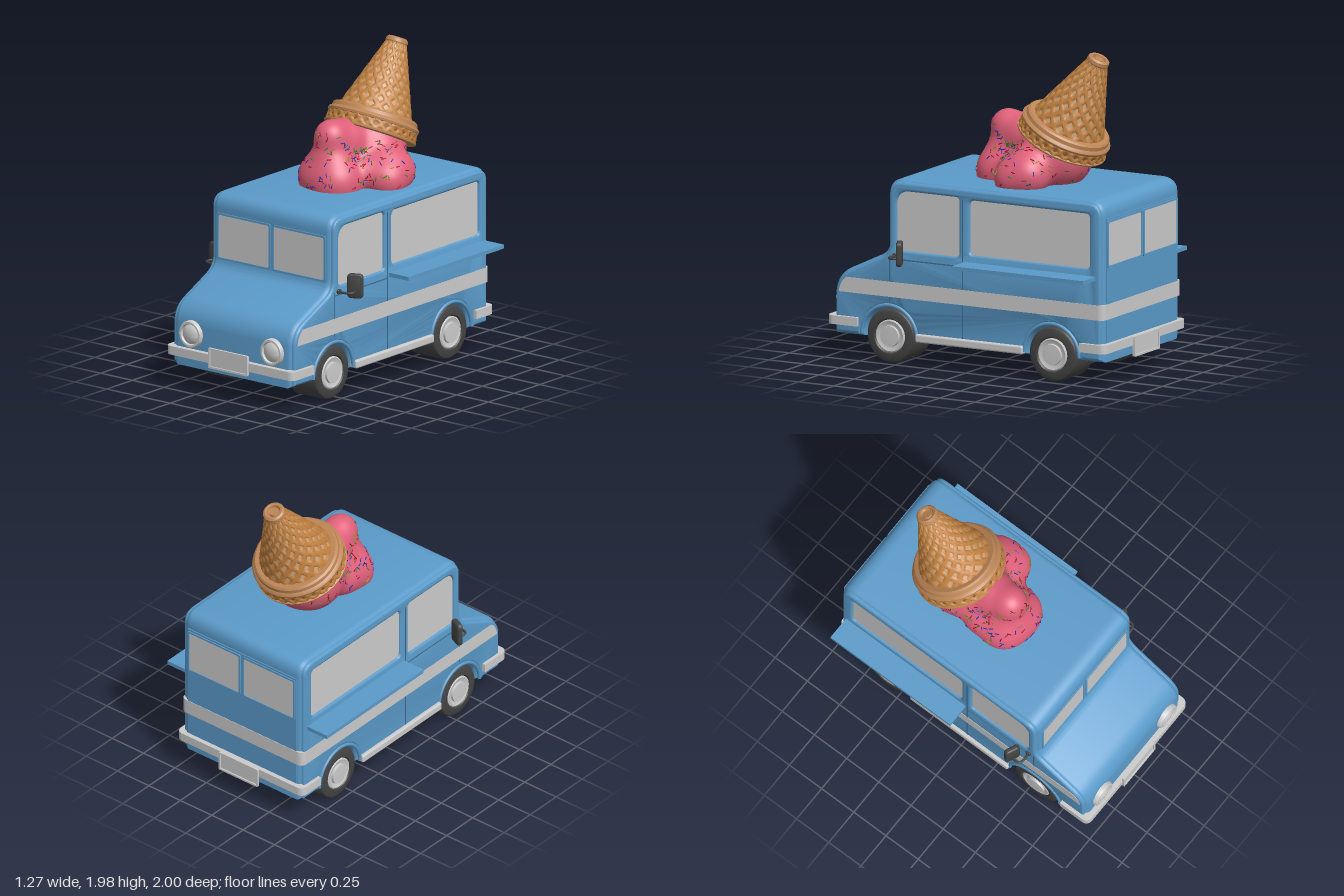
import * as THREE from 'three';
import { mergeGeometries, toCreasedNormals } from 'three/addons/utils/BufferGeometryUtils.js';
import { RoundedBoxGeometry } from 'three/addons/geometries/RoundedBoxGeometry.js';

const mat = (color) => new THREE.MeshStandardMaterial({ color });
const BLUE = mat(0x5b9bca), SEAM = mat(0x3f7099), GREY = mat(0xcccccc), DARK = mat(0x444444);
const PINK = mat(0xe0607a), WAFFLE = mat(0xc08040), RIM = mat(0xbd8656), PALE = mat(0xc7a27c), BROWN = mat(0x84572c);

export function createModel() {
  const root = new THREE.Group();

  const add = (name, geo, material, x = 0, y = 0, z = 0, parent = root) => {
    const m = new THREE.Mesh(geo, material);
    m.name = name;
    m.position.set(x, y, z);
    parent.add(m);
    return m;
  };
  // Rounded rectangle, radii in order: bottom left, bottom right, top right, top left
  const rr = (x0, y0, x1, y1, [a, b, c, d]) => {
    const s = new THREE.Shape();
    s.moveTo(x0 + a, y0).lineTo(x1 - b, y0).quadraticCurveTo(x1, y0, x1, y0 + b);
    s.lineTo(x1, y1 - c).quadraticCurveTo(x1, y1, x1 - c, y1);
    s.lineTo(x0 + d, y1).quadraticCurveTo(x0, y1, x0, y1 - d);
    s.lineTo(x0, y0 + a).quadraticCurveTo(x0, y0, x0 + a, y0);
    return s;
  };
  const extrude = (shape, depth, bevel = 0, inset = 0) => {
    const g = new THREE.ExtrudeGeometry(shape, {
      depth: depth - 2 * bevel, bevelEnabled: bevel > 0, bevelSize: bevel, bevelThickness: bevel,
      bevelOffset: -bevel - inset, bevelSegments: 4, curveSegments: 14,
    });
    return toCreasedNormals(g.translate(0, 0, -depth / 2 + bevel), 0.6);
  };
  // Shape drawn as (z, y), extruded across the full width
  const across = (...args) => extrude(...args).rotateY(-Math.PI / 2);
  // Shape drawn as (x, -z), extruded upward from y0 to y1
  const upward = (shape, y0, y1) => extrude(shape, y1 - y0).rotateX(-Math.PI / 2).translate(0, (y0 + y1) / 2, 0);
  const box = (w, h, d) => new THREE.BoxGeometry(w, h, d);
  const lathe = (pts, seg = 40) => toCreasedNormals(
    new THREE.LatheGeometry(pts.map(([x, y]) => new THREE.Vector2(x, y)), seg), 0.6);

  // Side outline with wheel arches
  const axles = [-0.595, 0.555];
  const sideOutline = () => {
    const s = new THREE.Shape();
    s.moveTo(-0.955, 0.152);
    for (const z of axles) s.lineTo(z - 0.185, 0.152).absarc(z, 0.172, 0.185, Math.PI, 0, true).lineTo(z + 0.185, 0.152);
    s.lineTo(0.95, 0.152).lineTo(0.95, 0.42).quadraticCurveTo(0.94, 0.525, 0.84, 0.57);
    s.lineTo(0.63, 0.67).quadraticCurveTo(0.57, 0.7, 0.57, 0.76).lineTo(0.57, 1.06);
    s.quadraticCurveTo(0.57, 1.16, 0.46, 1.16).lineTo(-0.85, 1.16);
    s.quadraticCurveTo(-0.955, 1.16, -0.955, 1.06).lineTo(-0.955, 0.152);
    return s;
  };

  // Body core, and an outer skin whose window openings leave recessed panes
  const skin = sideOutline(), lip = 0.032;
  const sideWindows = [['doorWindow', 0.045, 0.7, 0.52, 1.105, 0.07], ['servingWindow', -0.88, 0.72, 0.002, 1.095, 0.015]];
  for (const [name, z0, y0, z1, y1, r] of sideWindows) {
    skin.holes.push(rr(z0 + lip, y0 + lip, z1 - lip, y1 - lip, [0.012, 0.012, r, 0.012]));
    add(name, across(rr(z0, y0, z1, y1, [0.012, 0.012, r, 0.012]), 0.93), GREY);
  }
  add('body', across(sideOutline(), 0.925, 0.035), BLUE);
  add('bodySides', across(skin, 0.96, lip / 2, lip / 2), BLUE);
  for (const z of axles) {
    add('wheelWell', box(0.48, 0.26, 0.42), BLUE, 0, 0.282, z);
    for (const s of [-1, 1])
      add('archTrim', new THREE.TorusGeometry(0.195, 0.012, 8, 32, Math.PI).rotateY(Math.PI / 2), BLUE, s * 0.475, 0.172, z);
  }
  add('rearPanel', box(0.86, 0.77, 0.02), BLUE, 0, 0.665, -0.951);

  // Front and rear window pairs in thin frames
  const sharp = [0.01, 0.01, 0.01, 0.01];
  for (const x0 of [-0.415, 0.02]) for (const [name, z] of [['windshield', 0.57], ['rearWindow', -0.961]]) {
    const frame = rr(x0 - 0.012, 0.743, x0 + 0.407, 1.037, sharp), pane = rr(x0, 0.755, x0 + 0.395, 1.025, sharp);
    frame.holes.push(pane);
    add(name + 'Frame', extrude(frame, 0.014), BLUE, 0, 0, z);
    add(name, extrude(pane, 0.004), GREY, 0, 0, z);
  }

  // Door seams, serving counters, sills
  add('doorSeam', box(0.964, 0.88, 0.008), SEAM, 0, 0.64, 0.033);
  add('doorSeam', box(0.964, 0.28, 0.008), SEAM, 0, 0.54, 0.55);
  add('doorTrim', box(0.964, 0.008, 0.51), SEAM, 0, 0.66, 0.295);
  for (const s of [-1, 1]) {
    add('servingCounter', box(0.16, 0.025, 0.93), BLUE, s * 0.555, 0.68, -0.445);
    add('sill', new RoundedBoxGeometry(0.06, 0.052, 0.76, 2, 0.012), GREY, s * 0.473, 0.183, -0.02);
  }

  // Stripe along the sides and around the back
  const stripe = new THREE.Shape();
  stripe.moveTo(-0.9, 0.42).lineTo(0.91, 0.42).quadraticCurveTo(0.9, 0.49, 0.855, 0.515).lineTo(-0.9, 0.515);
  add('sideStripe', across(stripe, 0.965), GREY);
  add('rearStripe', upward(rr(-0.4825, 0.8, 0.4825, 0.964, [0, 0, 0.045, 0.045]), 0.42, 0.515), GREY);

  // Bumpers and plates
  add('frontBumper', upward(rr(-0.503, -0.985, 0.503, -0.77, [0.05, 0.05, 0, 0]), 0.215, 0.27), GREY);
  add('rearBumper', upward(rr(-0.503, 0.805, 0.503, 0.985, [0, 0, 0.05, 0.05]), 0.215, 0.27), GREY);
  for (const [y, s] of [[0.252, 1], [0.208, -1]]) {
    const rim = rr(-0.155, -0.064, 0.155, 0.064, [0.006, 0.006, 0.006, 0.006]);
    rim.holes.push(rr(-0.143, -0.052, 0.143, 0.052, [0, 0, 0, 0]));
    add('plateFrame', extrude(rim, 0.016), GREY, 0, y, s * 0.991);
    add('plate', box(0.29, 0.108, 0.006), GREY, 0, y, s * 0.986);
  }

  // Headlights
  for (const s of [-1, 1]) {
    const lamp = new THREE.Group();
    lamp.name = 'headlight';
    lamp.position.set(s * 0.32, 0.365, 0.94);
    lamp.rotation.x = Math.PI / 2;
    root.add(lamp);
    add('lampRing', lathe([[0.086, -0.03], [0.086, 0.025], [0.08, 0.036], [0.068, 0.036], [0.062, 0.02]]), GREY, 0, 0, 0, lamp);
    add('lampLens', lathe([[0.065, 0.02], [0.05, 0.034], [0.028, 0.042], [0.0001, 0.045]]), GREY, 0, 0, 0, lamp);
  }

  // Wheels
  const tyre = lathe([[0.09, 0], [0.155, 0], [0.17, 0.015], [0.17, 0.205], [0.16, 0.222], [0.14, 0.23], [0.11, 0.23], [0.1, 0.215]], 48);
  const hub = lathe([[0.102, 0.205], [0.102, 0.225], [0.094, 0.23], [0.074, 0.222], [0.066, 0.222], [0.064, 0.236], [0.0001, 0.238]]);
  const back = new THREE.CylinderGeometry(0.1, 0.1, 0.02, 32);
  for (const z of axles) for (const s of [-1, 1]) {
    const wheel = new THREE.Group();
    wheel.name = 'wheel';
    wheel.position.set(s * 0.242, 0.172, z);
    wheel.rotation.z = -s * Math.PI / 2;
    root.add(wheel);
    add('tyre', tyre, DARK, 0, 0, 0, wheel);
    add('hub', hub, GREY, 0, 0, 0, wheel);
    add('wheelBack', back, DARK, 0, 0.012, 0, wheel);
  }

  // Side mirrors
  for (const s of [-1, 1]) {
    const head = add('mirror', extrude(rr(-0.051, -0.078, 0.051, 0.078, [0.03, 0.03, 0.03, 0.03]), 0.036, 0.012), DARK, s * 0.555, 0.715, 0.438);
    head.rotation.y = s * 0.42;
    const path = new THREE.CatmullRomCurve3([[0.47, 0.505], [0.52, 0.515], [0.565, 0.505], [0.575, 0.48], [0.56, 0.445]]
      .map(([x, z]) => new THREE.Vector3(s * x, 0.682, z)));
    add('mirrorArm', new THREE.TubeGeometry(path, 20, 0.008, 8), DARK);
    add('mirrorMount', new RoundedBoxGeometry(0.02, 0.03, 0.035, 2, 0.008), DARK, s * 0.484, 0.682, 0.51);
  }

  // Ice cream: smooth union of balls, found by marching inward along rays
  const balls = [[-0.03, 1.33, -0.35, 0.215], [0.03, 1.34, -0.36, 0.215], [-0.06, 1.2, -0.01, 0.155], [0.05, 1.19, 0, 0.16],
    [-0.11, 1.24, -0.14, 0.11], [0, 1.32, -0.02, 0.125], [0, 1.47, -0.01, 0.1], [0, 1.42, -0.14, 0.13],
    [0.28, 1.2, -0.21, 0.115], [0.26, 1.23, -0.31, 0.125], [0.17, 1.24, -0.16, 0.09], [0.22, 1.29, -0.27, 0.09]]
    .map(([x, y, z, r]) => ({ c: new THREE.Vector3(x, y, z), r }));
  const field = (p) => -Math.log(balls.reduce((sum, b) => sum + Math.exp(-38 * (p.distanceTo(b.c) - b.r)), 0)) / 38;
  const middle = new THREE.Vector3(0.03, 1.25, -0.18);
  const onSurface = (dir) => {
    const p = new THREE.Vector3();
    for (let t = 1, i = 0; i < 80; i++) {
      p.copy(dir).multiplyScalar(t).add(middle);
      const f = field(p);
      if (f < 0.0005) break;
      t -= f;
    }
    return p;
  };
  const scoop = new THREE.SphereGeometry(1, 96, 64);
  const pos = scoop.attributes.position;
  for (let i = 0; i < pos.count; i++) {
    const p = onSurface(new THREE.Vector3().fromBufferAttribute(pos, i).normalize());
    pos.setXYZ(i, p.x, p.y, p.z);
  }
  add('iceCream', toCreasedNormals(scoop, 1.5), PINK);

  // Upturned cone, leaning back
  const cone = new THREE.Group();
  cone.name = 'cone';
  cone.position.set(0, 1.405, -0.385);
  cone.rotation.x = -0.464;
  root.add(cone);
  const waffle = (name, r0, h0, r1, h1, n, k, rows, inner) => {
    const pts = Array.from({ length: rows + 1 }, (_, i) => [r0 + (r1 - r0) * i / rows, h0 + (h1 - h0) * i / rows]);
    const g = new THREE.LatheGeometry(pts.map(([x, y]) => new THREE.Vector2(x, y)), 168);
    const v = g.attributes.position;
    for (let i = 0; i < v.count; i++) {
      const a = n / 2 * Math.atan2(v.getX(i), v.getZ(i)), b = k * (v.getY(i) - h0);
      const cell = Math.min(Math.abs(Math.sin(a + b)), Math.abs(Math.sin(a - b)));
      const f = 1 - 0.01 * THREE.MathUtils.smoothstep(cell, 0.45, 0.9) / Math.hypot(v.getX(i), v.getZ(i));
      v.setXYZ(i, v.getX(i) * f, v.getY(i), v.getZ(i) * f);
    }
    add(name, toCreasedNormals(g, 1), WAFFLE, 0, 0, 0, cone);
    add(name + 'Hollows', lathe([[r0 - 0.008, h0], [r1 - 0.008, h1]], 96), inner, 0, 0, 0, cone);
  };
  waffle('coneWall', 0.238, 0.12, 0.066, 0.585, 14, 36, 56, PALE);
  waffle('coneCollar', 0.29, 0.012, 0.283, 0.082, 26, 45, 12, BROWN);
  add('collarEdge', lathe([[0.0001, 0.01], [0.26, 0], [0.28, -0.002], [0.292, 0.004], [0.294, 0.014], [0.28, 0.022]], 64), RIM, 0, 0, 0, cone);
  add('collarTop', lathe([[0.27, 0.07], [0.288, 0.074], [0.292, 0.088], [0.284, 0.1], [0.274, 0.106], [0.27, 0.128],
    [0.258, 0.138], [0.22, 0.138]], 64), RIM, 0, 0, 0, cone);
  add('coneTip', lathe([[0.064, 0.572], [0.071, 0.585], [0.068, 0.606], [0.056, 0.615], [0.044, 0.612], [0.038, 0.596],
    [0.03, 0.594], [0.026, 0.606], [0.0001, 0.606]]), RIM, 0, 0, 0, cone);

  // Sprinkles scattered on the ice cream below the cone
  let seed = 7;
  const rnd = () => (seed = (seed * 16807) % 2147483647) / 2147483647;
  const up = new THREE.Vector3(0, 1, 0), axis = new THREE.Vector3(0, 0.894, -0.447);
  const colours = [0xa01428, 0x2030c0, 0x258a34, 0x9a8a20, 0xa01428];
  const piles = colours.map(() => []);
  for (let i = 0; i < 360; i++) {
    const y = rnd() * 1.4 - 0.3, a = rnd() * Math.PI * 2, spin = rnd() * Math.PI;
    const p = onSurface(new THREE.Vector3(Math.cos(a), y, Math.sin(a)).normalize());
    if (p.y < 1.17 || p.clone().sub(cone.position).dot(axis) > -0.01) continue;
    const e = 0.002, f0 = field(p);
    const n = new THREE.Vector3(...['x', 'y', 'z'].map((k) => { const q = p.clone(); q[k] += e; return field(q) - f0; })).normalize();
    const t = new THREE.Vector3().crossVectors(n, Math.abs(n.y) > 0.9 ? new THREE.Vector3(1, 0, 0) : up).normalize().applyAxisAngle(n, spin);
    const g = new THREE.CapsuleGeometry(0.0034, 0.024, 2, 6);
    g.applyQuaternion(new THREE.Quaternion().setFromUnitVectors(up, t)).translate(p.x, p.y, p.z);
    piles[i % colours.length].push(g);
  }
  piles.forEach((list, i) => list.length && add('sprinkles', mergeGeometries(list), mat(colours[i])));

  return root;
}
